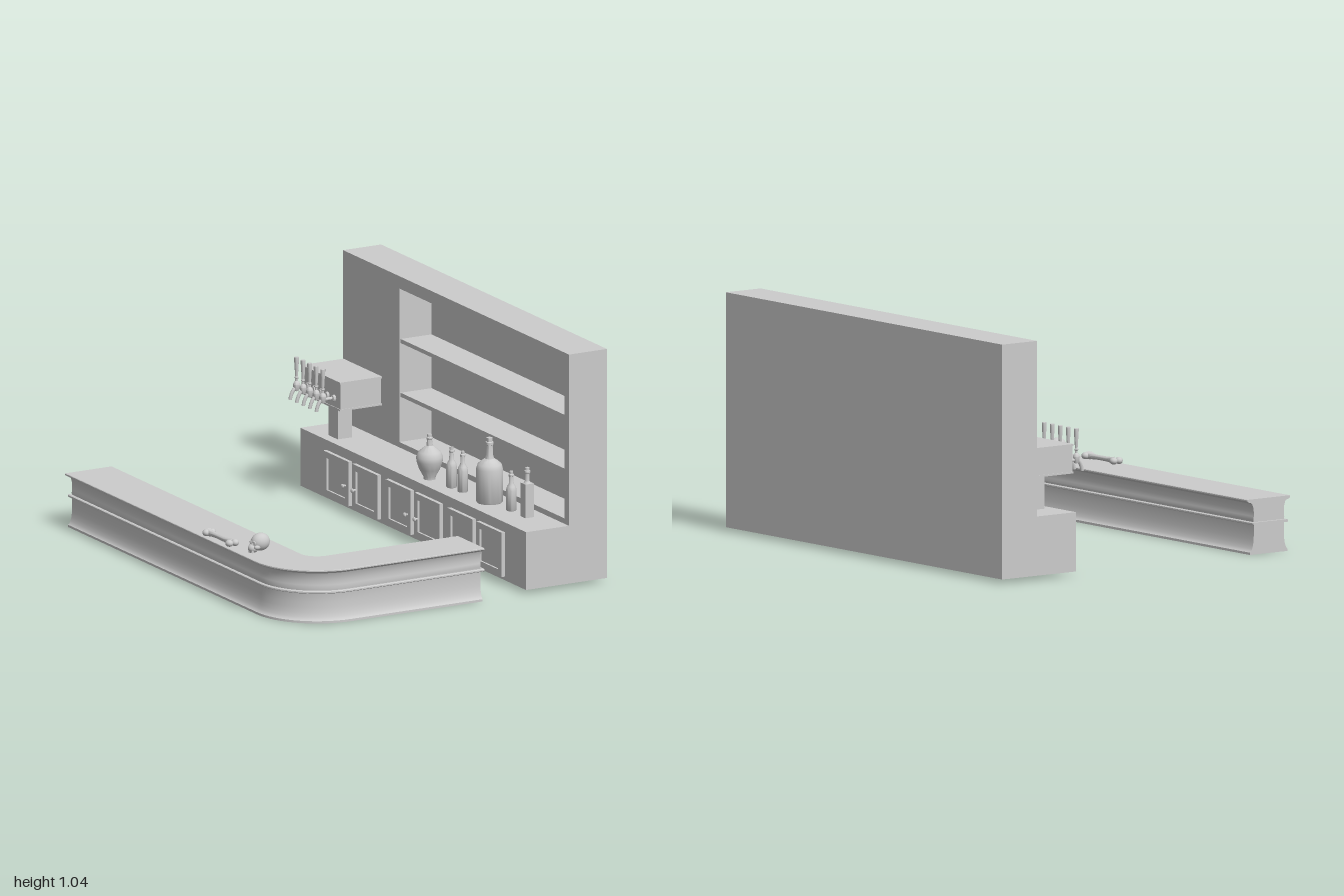
import * as THREE from 'three';
import { toCreasedNormals } from 'three/addons/utils/BufferGeometryUtils.js';

const grey = new THREE.MeshStandardMaterial({ color: 0xcccccc });

function add(parent, name, geometry, x = 0, y = 0, z = 0) {
  const mesh = new THREE.Mesh(geometry, grey);
  mesh.name = name;
  mesh.position.set(x, y, z);
  parent.add(mesh);
  return mesh;
}

function group(parent, name, x = 0, y = 0, z = 0) {
  const g = new THREE.Group();
  g.name = name;
  g.position.set(x, y, z);
  parent.add(g);
  return g;
}

// Box given by its limits on each axis
function block(parent, name, [x0, x1], [y0, y1], [z0, z1]) {
  return add(parent, name, new THREE.BoxGeometry(x1 - x0, y1 - y0, z1 - z0),
    (x0 + x1) / 2, (y0 + y1) / 2, (z0 + z1) / 2);
}

const rect = (Type, [a0, a1], [b0, b1]) => new Type([[a0, b0], [a1, b0], [a1, b1], [a0, b1]]
  .map(p => new THREE.Vector2(...p)));

// Rectangular frame in the z-y plane with an opening, thick along x
function frame(parent, name, [x0, x1], y, z, holeY, holeZ) {
  const shape = rect(THREE.Shape, z, y);
  shape.holes.push(rect(THREE.Path, holeZ, holeY));
  const geo = new THREE.ExtrudeGeometry(shape, { depth: x1 - x0, bevelEnabled: false });
  return add(parent, name, geo.rotateY(-Math.PI / 2), x1);
}

function lathe(parent, name, points, x, y, z, segments = 20) {
  const geo = new THREE.LatheGeometry(points.map(p => new THREE.Vector2(...p)), segments);
  return add(parent, name, toCreasedNormals(geo, 0.7), x, y, z);
}

// Sweep a profile (offset towards the inside, height) along the L-shaped bar
function sweepBar(parent, name, points, overhang = 0) {
  const cx = -0.48, cz = 0.68, r = 0.195, n = 20;
  const stations = [{ x: cx - r, z: -0.965 - overhang, a: 0 }];
  for (let i = 0; i <= n; i++) {
    const a = i / n * Math.PI / 2;
    stations.push({ x: cx - r * Math.cos(a), z: cz + r * Math.sin(a), a });
  }
  stations.push({ x: 0.172 + overhang, z: cz + r, a: Math.PI / 2 });
  const last = stations.length - 1;
  const shape = new THREE.Shape(points.map(p => new THREE.Vector2(...p)));
  const geo = new THREE.ExtrudeGeometry(shape, { depth: last, steps: last, bevelEnabled: false });
  const pos = geo.attributes.position;
  for (let i = 0; i < pos.count; i++) {
    const s = stations[Math.round(pos.getZ(i))], o = pos.getX(i);
    pos.setXYZ(i, s.x + o * Math.cos(s.a), pos.getY(i), s.z - o * Math.sin(s.a));
  }
  return add(parent, name, toCreasedNormals(geo, 0.5));
}

const mirrorProfile = half => [...half, ...half.map(([o, y]) => [-o, y]).reverse()];

function buildBar(root) {
  const bar = group(root, 'bar');
  sweepBar(bar, 'barBody', mirrorProfile([
    [0.102, 0], [0.102, 0.01], [0.096, 0.014], [0.09, 0.025], [0.085, 0.042], [0.082, 0.065],
    [0.081, 0.09], [0.081, 0.14], [0.084, 0.15], [0.081, 0.165], [0.081, 0.185],
    [0.084, 0.205], [0.09, 0.22], [0.098, 0.226]]));
  sweepBar(bar, 'barTop', mirrorProfile([
    [0.098, 0.225], [0.108, 0.228], [0.116, 0.234], [0.116, 0.239], [0.114, 0.241]]));
  sweepBar(bar, 'barMoulding', mirrorProfile([
    [0.09, 0.129], [0.094, 0.132], [0.094, 0.138], [0.09, 0.141]]), 0.014);
}

function buildBackUnit(root) {
  const unit = group(root, 'backUnit');
  const zs = [-1, 0.965];
  block(unit, 'cabinetBase', [0.394, 0.794], [0.018, 0.276], zs);
  block(unit, 'shelfBack', [0.765, 0.794], [0.276, 1.04], zs);
  frame(unit, 'shelfSurround', [0.606, 0.765], [0.276, 1.04], zs, [0.3, 0.985], [-0.51, 0.925]);
  for (const y of [0.51, 0.75]) block(unit, 'shelf', [0.612, 0.767], [y - 0.009, y + 0.009], [-0.511, 0.926]);

  // Three pairs of cupboard doors, knobs beside the middle of each pair
  for (const centre of [-0.535, 0.005, 0.545]) for (const side of [-1, 1]) {
    const door = group(unit, 'door');
    const span = (a, b) => [centre + side * a, centre + side * b].sort((p, q) => p - q);
    frame(door, 'doorFrame', [0.377, 0.395], [0.034, 0.232], span(0.017, 0.235), [0.062, 0.204], span(0.045, 0.207));
    block(door, 'doorPanel', [0.386, 0.395], [0.06, 0.206], span(0.043, 0.209));
    lathe(door, 'doorKnob', [[0, 0], [0.005, 0], [0.005, 0.008], [0.01, 0.012], [0.01, 0.017], [0.006, 0.021], [0, 0.022]],
      0.377, 0.12, centre + side * 0.043, 12).rotation.z = Math.PI / 2;
  }
}

function buildTaps(root) {
  const tower = group(root, 'tapTower');
  block(tower, 'towerPost', [0.44, 0.51], [0.276, 0.445], [-0.835, -0.755]);
  block(tower, 'towerBox', [0.382, 0.584], [0.44, 0.566], [-0.96, -0.63]);
  // Raised rim strips along the top and bottom of the box
  for (const y of [0.443, 0.563]) block(tower, 'towerRim', [0.379, 0.587], [y - 0.004, y + 0.004], [-0.963, -0.627]);

  for (let i = 0; i < 5; i++) {
    const tap = group(tower, 'tap', 0.323, 0.487, -0.908 + i * 0.057);
    const pipe = [[0, 0], [0.007, 0], [0.007, 0.045], [0.014, 0.047], [0.014, 0.06], [0, 0.06]];
    lathe(tap, 'tapPipe', pipe, 0, 0, 0, 10).rotation.z = -Math.PI / 2;
    lathe(tap, 'tapBody', [[0, -0.015], [0.01, -0.014], [0.014, 0], [0.016, 0.015], [0.012, 0.025],
      [0.006, 0.03], [0.006, 0.04], [0.009, 0.043], [0.009, 0.048], [0.006, 0.05]], 0, 0, 0, 10);
    lathe(tap, 'tapHandle', [[0.006, 0.048], [0.008, 0.08], [0.011, 0.125], [0.011, 0.136], [0, 0.138]], 0, 0, 0, 10);
    const spout = new THREE.QuadraticBezierCurve3(new THREE.Vector3(0, 0.002, 0),
      new THREE.Vector3(-0.023, -0.005, 0), new THREE.Vector3(-0.032, -0.05, 0));
    add(tap, 'tapSpout', new THREE.TubeGeometry(spout, 6, 0.008, 8)).material = tubeMaterial;
  }
}

const tubeMaterial = new THREE.MeshStandardMaterial({ color: 0xcccccc, side: THREE.DoubleSide });

function buildBottles(root) {
  const bottles = group(root, 'bottles');
  const y = 0.276;
  lathe(bottles, 'roundFlask', [[0, 0], [0.026, 0], [0.027, 0.012], [0.045, 0.045], [0.057, 0.08], [0.058, 0.1],
    [0.048, 0.122], [0.026, 0.14], [0.014, 0.15], [0.011, 0.175], [0.014, 0.178], [0.014, 0.186],
    [0.01, 0.188], [0.01, 0.2], [0, 0.2]], 0.465, y, 0, 28);
  lathe(bottles, 'largeBottle', [[0, 0], [0.055, 0], [0.058, 0.005], [0.058, 0.15], [0.052, 0.17], [0.035, 0.185],
    [0.02, 0.195], [0.016, 0.21], [0.014, 0.255], [0.018, 0.257], [0.018, 0.268], [0.013, 0.27],
    [0.013, 0.287], [0, 0.287]], 0.503, y, 0.455, 28);
  for (const [x, z, h] of [[0.48, 0.165, 1], [0.487, 0.25, 1], [0.517, 0.62, 0.97]])
    lathe(bottles, 'smallBottle', [[0, 0], [0.021, 0], [0.023, 0.003], [0.023, 0.095], [0.019, 0.11], [0.011, 0.122],
      [0.009, 0.155], [0.012, 0.157], [0.012, 0.166], [0.008, 0.168], [0.008, 0.18], [0, 0.18]]
      .map(([r, t]) => [r, t * h]), x, y, z, 18);
  const square = group(bottles, 'squareBottle', 0.525, y, 0.745);
  add(square, 'squareBody', new THREE.BoxGeometry(0.042, 0.15, 0.042), 0, 0.075, 0);
  lathe(square, 'squareNeck', [[0.017, 0.15], [0.01, 0.16], [0.01, 0.195], [0.013, 0.197], [0.013, 0.205],
    [0.009, 0.207], [0.009, 0.22], [0, 0.22]], 0, 0, 0, 14);
}

function buildBones(root) {
  // Skull resting on its jaw, facing outwards
  const skull = group(root, 'skull', -0.692, 0.241, 0.56);
  const ball = (parent, name, r, sx, sy, sz, x, y, z) =>
    add(parent, name, new THREE.SphereGeometry(r, 20, 14), x, y, z).scale.set(sx, sy, sz);
  ball(skull, 'cranium', 0.04, 1.08, 0.98, 0.9, 0, 0.044, 0);
  ball(skull, 'upperJaw', 0.022, 1.1, 0.9, 1, -0.035, 0.02, 0);
  for (const s of [-1, 1]) {
    ball(skull, 'cheekbone', 0.012, 1.3, 0.9, 0.9, -0.027, 0.027, s * 0.022);
    const socket = add(skull, 'eyeSocket', new THREE.TorusGeometry(0.009, 0.003, 8, 14), -0.04, 0.043, s * 0.014);
    socket.rotation.y = Math.PI / 2 + s * 0.4;
  }
  for (let i = -2; i <= 2; i++)
    add(skull, 'tooth', new THREE.BoxGeometry(0.008, 0.012, 0.006), -0.052 + Math.abs(i) * 0.003, 0.008, i * 0.007);

  // Long bone with two knobs at each end
  const bone = group(root, 'bone', -0.755, 0.256, 0.325);
  lathe(bone, 'boneShaft', [[0.019, -0.1], [0.014, -0.08], [0.011, -0.04], [0.011, 0.04], [0.014, 0.08], [0.019, 0.1]],
    0, 0, 0, 14).rotation.x = Math.PI / 2;
  for (const end of [-1, 1]) for (const side of [-1, 1])
    ball(bone, 'boneKnob', 0.017, 1, 0.9, 1.1, side * 0.014, 0, end * 0.1);
}

export function createModel() {
  const root = new THREE.Group();
  root.name = 'barCounterSet';
  buildBar(root);
  buildBackUnit(root);
  buildTaps(root);
  buildBottles(root);
  buildBones(root);
  return root;
}
